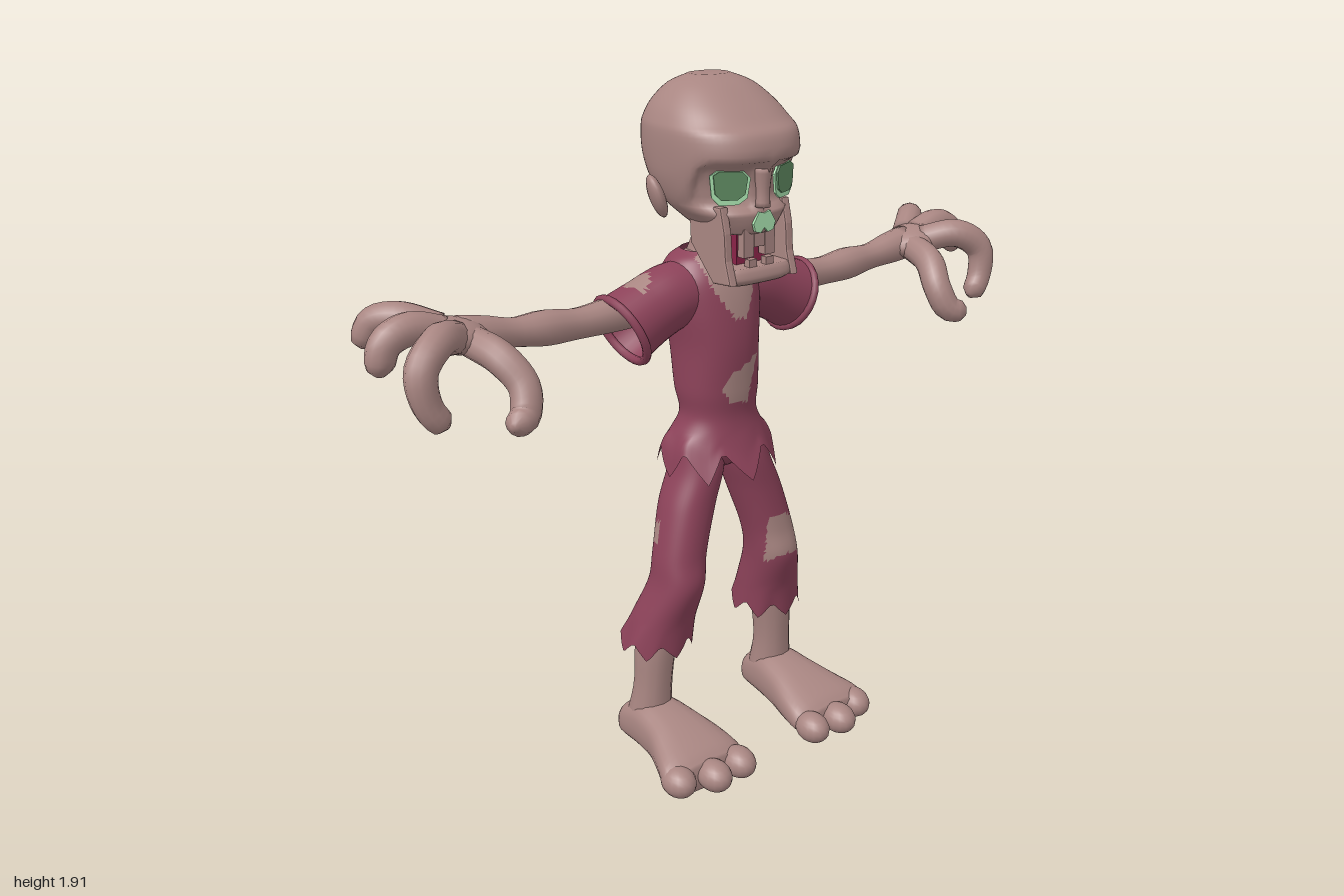
import * as THREE from 'three';

const mat = (name, color) => Object.assign(new THREE.MeshStandardMaterial({ color }), { name });
const { sin, cos, abs, sign, max, PI } = Math;
const clamp01 = (v) => THREE.MathUtils.clamp(v, 0, 1);
const v3 = (x, y, z) => new THREE.Vector3(x, y, z);

// Closed rings of points joined into a surface; torn(p) marks faces for the second material
function skinRings(rows, caps = true, torn = null) {
  const n = rows[0].length, pts = rows.flat(), faces = [[], []];
  const tri = (a, b, c) => {
    const mid = v3(0, 0, 0).add(pts[a]).add(pts[b]).add(pts[c]).divideScalar(3);
    faces[torn && torn(mid) ? 1 : 0].push(a, b, c);
  };
  for (let i = 0; i < rows.length - 1; i++) {
    for (let j = 0; j < n; j++) {
      const a = i * n + j, b = i * n + (j + 1) % n;
      tri(a, a + n, b);
      tri(b, a + n, b + n);
    }
  }
  if (caps) {
    for (const end of [0, rows.length - 1]) {
      const centre = v3(0, 0, 0);
      rows[end].forEach((p) => centre.add(p));
      const k = pts.push(centre.divideScalar(n)) - 1;
      for (let j = 0; j < n; j++) {
        const a = end * n + j, b = end * n + (j + 1) % n;
        if (end === 0) tri(k, a, b); else tri(k, b, a);
      }
    }
  }
  const g = new THREE.BufferGeometry().setFromPoints(pts);
  g.setIndex([...faces[0], ...faces[1]]);
  if (torn) {
    g.addGroup(0, faces[0].length, 0);
    g.addGroup(faces[0].length, faces[1].length, 1);
  }
  g.computeVertexNormals();
  return g;
}

const smooth = (rows) => new THREE.CubicInterpolant(
  Float32Array.from(rows.keys()), new Float32Array(rows.flat()), rows[0].length);

// Upright loft through sections [y, centre x, half width, front z, back z]
function stack(sections, { sub = 4, n = 24, power = 2.2, warp = null, caps = true, torn = null } = {}) {
  const f = smooth(sections), rows = [], count = (sections.length - 1) * sub;
  for (let i = 0; i <= count; i++) {
    const [y, cx, rx, zf, zb] = f.evaluate(i / sub), row = [];
    for (let j = 0; j < n; j++) {
      const t = j / n * 2 * PI, c = cos(t), s = sin(t);
      const p = v3(cx + rx * sign(c) * abs(c) ** (2 / power), y,
        (zf + zb) / 2 + (zf - zb) / 2 * sign(s) * abs(s) ** (2 / power));
      if (warp) warp(p, t);
      row.push(p);
    }
    rows.push(row);
  }
  return skinRings(rows, caps, torn);
}

// Round limb through points [x, y, z, radius]
function limb(points, { sub = 4, n = 12, caps = true, torn = null } = {}) {
  const curve = new THREE.CatmullRomCurve3(points.map(([x, y, z]) => v3(x, y, z)));
  const radius = smooth(points.map((p) => [p[3]])), last = points.length - 1;
  const count = last * sub, frames = curve.computeFrenetFrames(count), rows = [];
  for (let i = 0; i <= count; i++) {
    const r = radius.evaluate(curve.getUtoTmapping(i / count) * last)[0];
    const P = curve.getPointAt(i / count), N = frames.normals[i];
    const B = N.clone().cross(frames.tangents[i]);
    rows.push(Array.from({ length: n }, (_, j) => P.clone()
      .addScaledVector(N, r * cos(j / n * 2 * PI)).addScaledVector(B, r * sin(j / n * 2 * PI))));
  }
  return skinRings(rows, caps, torn);
}

const zigzag = (t, tips) => 2 / PI * Math.asin(cos(tips * (t - PI / 2)));

function inside(poly, x, y) {
  let hit = false;
  poly.forEach(([ax, ay], i) => {
    const [bx, by] = poly[(i + 1) % poly.length];
    if ((ay > y) !== (by > y) && x < (bx - ax) * (y - ay) / (by - ay) + ax) hit = !hit;
  });
  return hit;
}

const polygon = (pts) => new THREE.Shape(pts.map(([x, y]) => new THREE.Vector2(x, y)));
const plate = (pts, depth) => new THREE.ExtrudeGeometry(polygon(pts), { depth, bevelEnabled: false });

export function createModel() {
  const model = new THREE.Group();
  const skin = mat('skin', 0xa98682);
  const cloth = mat('cloth', 0x8c4259);
  const eyeGreen = mat('eyeGreen', 0x5f8a62);
  const glow = mat('paleGreen', 0xa9e3b0);
  const mouth = mat('mouth', 0x8a2348);
  cloth.side = THREE.DoubleSide;
  const add = (name, geo, material, parent = model) => {
    const m = new THREE.Mesh(geo, material);
    m.name = name;
    parent.add(m);
    return m;
  };
  const blob = (name, pos, scale, material, parent) => {
    const m = add(name, new THREE.SphereGeometry(1, 16, 12), material, parent);
    m.position.set(...pos);
    m.scale.set(...scale);
    return m;
  };

  // Skull with pressed-in eye sockets
  const head = new THREE.Group();
  head.name = 'head';
  model.add(head);
  add('skull', stack([
    [1.53, 0, 0.09, 0.125, -0.08], [1.56, 0, 0.118, 0.135, -0.13], [1.6, 0, 0.152, 0.14, -0.175],
    [1.66, 0, 0.174, 0.145, -0.222], [1.72, 0, 0.182, 0.172, -0.25], [1.78, 0, 0.183, 0.162, -0.25],
    [1.81, 0, 0.175, 0.125, -0.24], [1.85, 0, 0.152, 0.075, -0.215], [1.89, 0, 0.11, 0.015, -0.175],
    [1.913, 0, 0.055, -0.04, -0.13]], {
    n: 64, power: 2.4,
    warp: (p) => {
      if (p.z < 0) return;
      const d = max(abs(abs(p.x) - 0.085) / 0.058, abs(p.y - 1.655) / 0.048);
      p.z -= 0.035 * clamp01((1.4 - d) / 0.4);
    } }), skin, head);
  add('neck', limb([[0, 1.6, -0.08, 0.05], [0, 1.5, -0.08, 0.05], [0, 1.41, -0.09, 0.075]]), skin, head);
  add('noseBridge', limb([[0, 1.7, 0.135, 0.025], [0, 1.64, 0.135, 0.018], [0, 1.6, 0.135, 0.02]]), skin, head);
  add('noseHole', plate([[0, 1.585], [0.018, 1.59], [0.036, 1.56], [0.03, 1.54], [0.012, 1.535], [0, 1.548],
    [-0.012, 1.535], [-0.03, 1.54], [-0.036, 1.56], [-0.018, 1.59]], 0.008), glow, head).position.z = 0.135;
  add('chin', stack([[1.402, 0, 0.09, 0.135, 0.06], [1.415, 0, 0.108, 0.148, 0.05],
    [1.435, 0, 0.112, 0.145, 0.04], [1.447, 0, 0.105, 0.138, 0.045]], { power: 3.5 }), skin, head);
  add('mouthInside', new THREE.BoxGeometry(0.1, 0.12, 0.05), mouth, head).position.set(0, 1.49, 0.065);
  for (const x of [-0.035, 0, 0.035]) {
    const h = x === 0 ? 0.05 : 0.075;
    add('upperTooth', new THREE.BoxGeometry(0.033, h, 0.025), skin, head).position.set(x, 1.545 - h / 2, 0.11);
  }
  for (const x of [-0.03, 0.025]) {
    add('lowerTooth', new THREE.BoxGeometry(0.025, 0.03, 0.02), skin, head).position.set(x, 1.452, 0.125);
  }
  const jaw = new THREE.ExtrudeGeometry(polygon([[0.138, 1.415], [0.075, 1.41], [-0.015, 1.5], [-0.02, 1.6],
    [0.1, 1.6], [0.115, 1.54], [0.12, 1.47]]), { depth: 0.014, bevelSize: 0.006, bevelThickness: 0.006, bevelSegments: 2 });
  jaw.translate(0, 0, -0.007).rotateY(-PI / 2);

  for (const s of [1, -1]) {
    const side = s > 0 ? 'left' : 'right';
    add(side + 'Jaw', jaw, skin, head).position.x = s * 0.102;
    // Eyes: pale rim with a darker plate in front
    const eye = new THREE.Group();
    eye.name = side + 'Eye';
    eye.position.set(s * 0.085, 1.657, 0.108);
    eye.rotation.y = s * 0.4;
    head.add(eye);
    const outline = [[-0.052, 0.02], [-0.044, -0.03], [-0.02, -0.046], [0.03, -0.046], [0.05, -0.025],
      [0.055, 0.03], [0.035, 0.042], [-0.035, 0.038]].map(([x, y]) => [s * x, y]);
    add('eyeRim', plate(outline, 0.006), glow, eye);
    const iris = add('eyeball', plate(outline.map(([x, y]) => [x * 0.84, y * 0.84 + 0.006]), 0.008), eyeGreen, eye);
    iris.position.z = 0.003;
    // Ear
    const ear = blob(side + 'Ear', [s * 0.19, 1.62, -0.06], [0.02, 0.06, 0.043], skin, head);
    ear.rotation.set(0.15, s * 0.35, -s * 0.4);

    // Arm, palm and hooked fingers
    const arm = new THREE.Group();
    arm.name = side + 'Arm';
    model.add(arm);
    const path = (pts) => pts.map(([x, y, z, r]) => [s * x, y, z, r]);
    add('forearm', limb(path([[0.1, 1.33, -0.1, 0.05], [0.3, 1.32, -0.1, 0.048], [0.42, 1.315, -0.1, 0.041],
      [0.52, 1.322, -0.1, 0.047], [0.61, 1.328, -0.1, 0.038], [0.69, 1.34, -0.1, 0.046], [0.76, 1.35, -0.1, 0.05]])), skin, arm);
    blob('palm', [s * 0.775, 1.355, -0.09], [0.09, 0.045, 0.082], skin, arm).rotation.z = s * 0.2;
    const fingers = {
      thumb: [[0.75, 1.345, -0.06, 0.04], [0.725, 1.32, 0.04, 0.042], [0.7, 1.26, 0.1, 0.04],
        [0.72, 1.2, 0.13, 0.038], [0.755, 1.19, 0.15, 0.03], [0.765, 1.19, 0.16, 0.012]],
      indexFinger: [[0.79, 1.36, -0.06, 0.042], [0.87, 1.38, 0.01, 0.042], [0.935, 1.33, 0.045, 0.04],
        [0.93, 1.25, 0.055, 0.036], [0.9, 1.205, 0.06, 0.032], [0.885, 1.195, 0.06, 0.012]],
      middleFinger: [[0.8, 1.365, -0.1, 0.042], [0.89, 1.39, -0.1, 0.042], [0.95, 1.365, -0.1, 0.04],
        [0.968, 1.31, -0.1, 0.034], [0.968, 1.29, -0.1, 0.012]],
      littleFinger: [[0.79, 1.365, -0.13, 0.04], [0.87, 1.395, -0.19, 0.04], [0.915, 1.38, -0.235, 0.038],
        [0.935, 1.335, -0.25, 0.032], [0.935, 1.318, -0.255, 0.012]],
    };
    for (const [name, pts] of Object.entries(fingers)) add(name, limb(path(pts)), skin, arm);

    // Open sleeve with a torn shoulder
    add(side + 'Sleeve', limb(path([[0.04, 1.345, -0.09, 0.085], [0.13, 1.338, -0.09, 0.09],
      [0.21, 1.31, -0.09, 0.092], [0.295, 1.272, -0.09, 0.1]]), {
      sub: 8, n: 32, caps: false,
      torn: (p) => p.y > 1.34 && inside([[0.19, -0.09], [0.22, -0.14], [0.25, -0.12], [0.275, -0.1],
        [0.25, -0.04], [0.22, -0.06]], abs(p.x), p.z) }), [cloth, skin]);
    const cuff = add(side + 'Cuff', new THREE.TorusGeometry(0.098, 0.012, 8, 24), cloth);
    cuff.position.set(s * 0.29, 1.274, -0.09);
    cuff.rotation.set(0, s * PI / 2, 0);
    cuff.rotation.order = 'ZYX';
    cuff.rotation.z = -s * 0.42;

    // Trouser leg with ragged hem and a torn knee
    const tornLeg = s > 0
      ? (p) => p.z > -0.1 && p.x > 0.11 && inside([[0.06, 0.68], [0.0, 0.62], [-0.12, 0.62], [-0.1, 0.57], [-0.03, 0.55],
        [0.03, 0.52], [0.08, 0.56]], p.z, p.y)
      : (p) => p.z < -0.045 && inside([[-0.26, 0.73], [-0.16, 0.69], [-0.08, 0.72], [-0.07, 0.66],
        [-0.15, 0.62], [-0.22, 0.65]], p.x, p.y);
    add(side + 'TrouserLeg', stack([[0.93, 0.07, 0.07, 0.02, -0.13], [0.85, 0.083, 0.072, 0.035, -0.13],
      [0.75, 0.12, 0.075, 0.04, -0.125], [0.62, 0.158, 0.072, 0.05, -0.105], [0.53, 0.173, 0.072, 0.062, -0.11],
      [0.42, 0.193, 0.088, 0.03, -0.15], [0.335, 0.205, 0.1, 0.015, -0.18]]
      .map(([y, x, ...r]) => [y, s * x, ...r]).reverse(), {
      sub: 8, n: 48, caps: false, torn: tornLeg,
      warp: (p, t) => { p.y -= 0.025 * zigzag(t, 7) * clamp01((0.42 - p.y) / 0.08); } }), [cloth, skin]);
    add(side + 'Shin', limb([[s * 0.18, 0.5, -0.06, 0.055], [s * 0.215, 0.33, -0.07, 0.06],
      [s * 0.225, 0.2, -0.075, 0.056], [s * 0.23, 0.08, -0.09, 0.068]]), skin);

    // Flat-soled foot, lofted heel to toe
    const foot = new THREE.Group();
    foot.name = side + 'Foot';
    model.add(foot);
    add('sole', stack([[-0.18, 0.235, 0.035, 0, -0.07], [-0.155, 0.235, 0.06, 0, -0.11], [-0.07, 0.23, 0.075, 0, -0.15],
      [0.02, 0.227, 0.09, 0, -0.145], [0.1, 0.23, 0.115, 0, -0.125], [0.17, 0.237, 0.134, 0, -0.1],
      [0.205, 0.237, 0.118, 0, -0.075]].map(([z, x, ...r]) => [z, s * x, ...r]), { power: 2.6 })
      .rotateX(PI / 2), skin, foot);
    for (const [x, z, r] of [[0.14, 0.215, 0.045], [0.235, 0.225, 0.046], [0.33, 0.185, 0.046]]) {
      blob('toe', [s * x, 0.044, z], [r, 0.044, 0.058], skin, foot);
    }
  }

  // Shirt with neckline, belly tear and pointed hem
  const neckline = [[-0.085, 1.47], [0.095, 1.47], [0.065, 1.35], [0.025, 1.28], [-0.015, 1.285], [-0.07, 1.37]];
  const belly = [[-0.055, 1.09], [-0.035, 1.13], [0.07, 1.175], [0.045, 1.1], [0.03, 1.04], [-0.03, 1.05]];
  add('shirt', stack([[0.875, 0, 0.165, 0.085, -0.205], [0.925, 0, 0.152, 0.06, -0.18], [1.0, 0, 0.112, 0.04, -0.145],
    [1.08, 0, 0.118, 0.045, -0.165], [1.2, 0, 0.12, 0.05, -0.188], [1.3, 0, 0.135, 0.04, -0.203],
    [1.38, 0, 0.14, 0.02, -0.203], [1.43, 0, 0.115, -0.01, -0.185], [1.455, 0, 0.075, -0.035, -0.16]], {
    sub: 8, n: 72, caps: false,
    torn: (p) => p.z > -0.05 && (inside(neckline, p.x, p.y) || inside(belly, p.x, p.y)),
    warp: (p, t) => {
      const w = clamp01((0.96 - p.y) / 0.085), k = zigzag(t, 8);
      p.y -= 0.042 * k * w;
      p.z += 0.02 * sin(t) * k * w;
    } }), [cloth, skin]);
  blob('collarbone', [0, 1.425, -0.09], [0.1, 0.035, 0.075], skin);
  blob('trouserSeat', [0, 0.91, -0.05], [0.13, 0.075, 0.085], cloth);
  return model;
}
